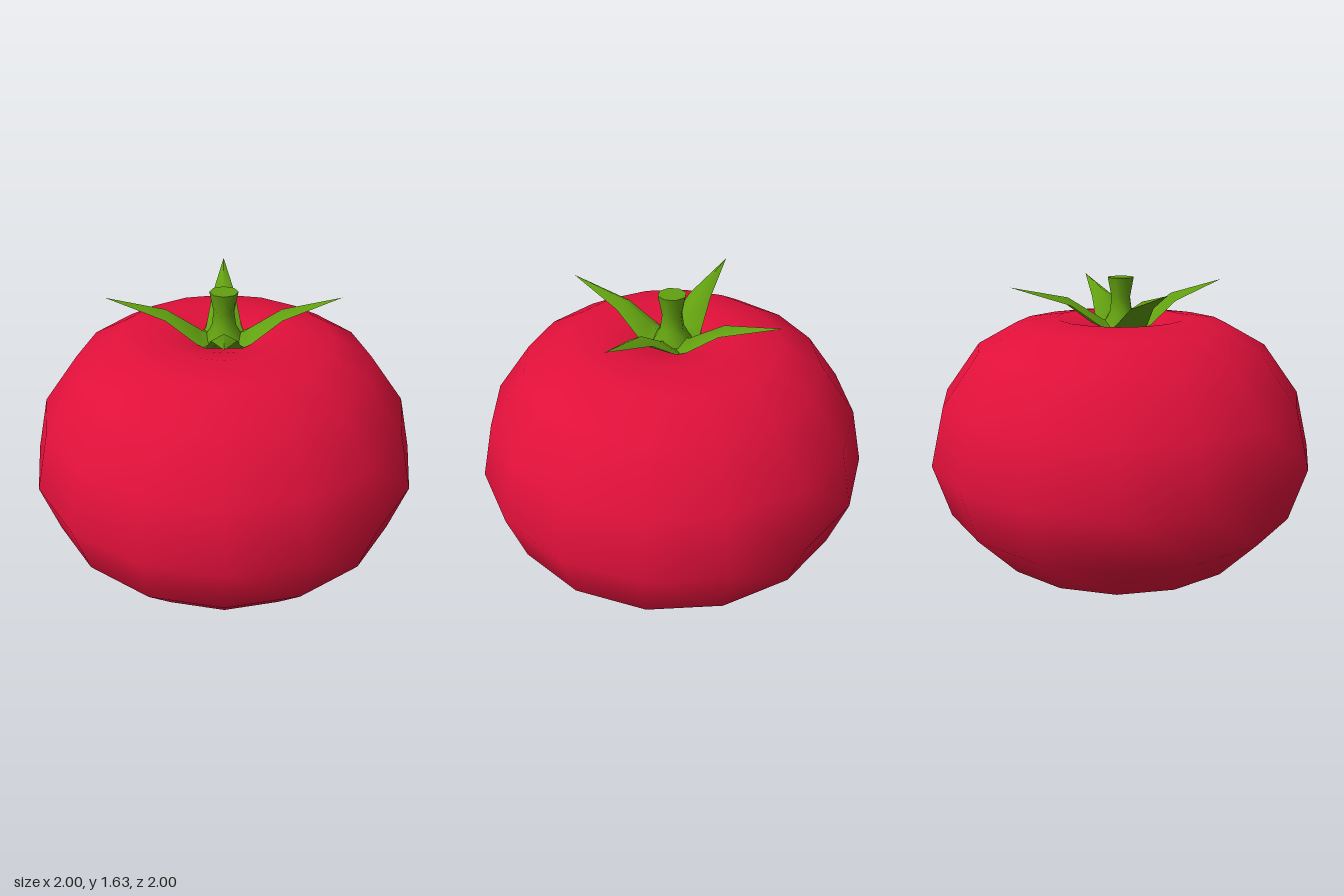
import * as THREE from 'three';

const red = new THREE.MeshStandardMaterial({ color: 0xe0103a });
red.name = 'tomatoRed';
const green = new THREE.MeshStandardMaterial({ color: 0x62a010 });
green.name = 'leafGreen';

function part(name, geometry, material) {
  const mesh = new THREE.Mesh(geometry, material);
  mesh.name = name;
  return mesh;
}

// Smooth turned shape from [radius, height] pairs, listed bottom to top
function turned(profile, sides) {
  return new THREE.LatheGeometry(profile.map(([r, y]) => new THREE.Vector2(r, y)), sides);
}

// Smooth sheet through rows of points
function sheet(rows) {
  const n = rows[0].length;
  const index = [];
  for (let i = 0; i < rows.length - 1; i++) {
    for (let j = 0; j < n - 1; j++) {
      const a = i * n + j, b = a + n;
      index.push(a, a + 1, b + 1, a, b + 1, b);
    }
  }
  const geometry = new THREE.BufferGeometry();
  geometry.setAttribute('position', new THREE.Float32BufferAttribute(rows.flat(2), 3));
  geometry.setIndex(index);
  geometry.computeVertexNormals();
  return geometry;
}

// One ridged leaf pointing along +x: radius, half width, edge height, ridge height
function createLeaf() {
  const stations = [
    [0, 0, 1.36, 1.4],
    [0.1, 0.1, 1.385, 1.425],
    [0.13, 0.09, 1.395, 1.445],
    [0.28, 0.06, 1.505, 1.54],
    [0.57, 0, 1.6, 1.6],
  ];
  const top = stations.map(([r, w, edge, ridge]) => [[r, edge, -w], [r, ridge, 0], [r, edge, w]]);
  const under = stations.map(([r, w, edge]) => [[r, edge, w], [r, edge, -w]]);
  const leaf = new THREE.Group();
  leaf.add(part('leafTop', sheet(top), green), part('leafUnderside', sheet(under), green));
  return leaf;
}

export function createModel() {
  const model = new THREE.Group();
  model.name = 'tomato';

  // Round fruit with a dimple at the top
  model.add(part('fruit', turned([
    [0, 0], [0.385, 0.06], [0.71, 0.235], [0.92, 0.47], [1, 0.745], [0.925, 1.04],
    [0.74, 1.29], [0.54, 1.4], [0.33, 1.43], [0.17, 1.39], [0, 1.33],
  ], 16), red));

  // Four leaves in a cross
  const leaves = new THREE.Group();
  leaves.name = 'leaves';
  for (let i = 0; i < 4; i++) {
    const leaf = createLeaf();
    leaf.name = `leaf${i + 1}`;
    leaf.rotation.y = i * Math.PI / 2;
    leaves.add(leaf);
  }
  model.add(leaves);

  // Stem, flared at both ends, with a flat cut top
  model.add(part('stem', turned([[0.1, 1.39], [0.06, 1.46], [0.05, 1.53], [0.07, 1.63]], 8), green));
  const cut = part('stemTop', new THREE.CircleGeometry(0.07, 8), green);
  cut.rotation.x = -Math.PI / 2;
  cut.position.y = 1.63;
  model.add(cut);

  return model;
}
